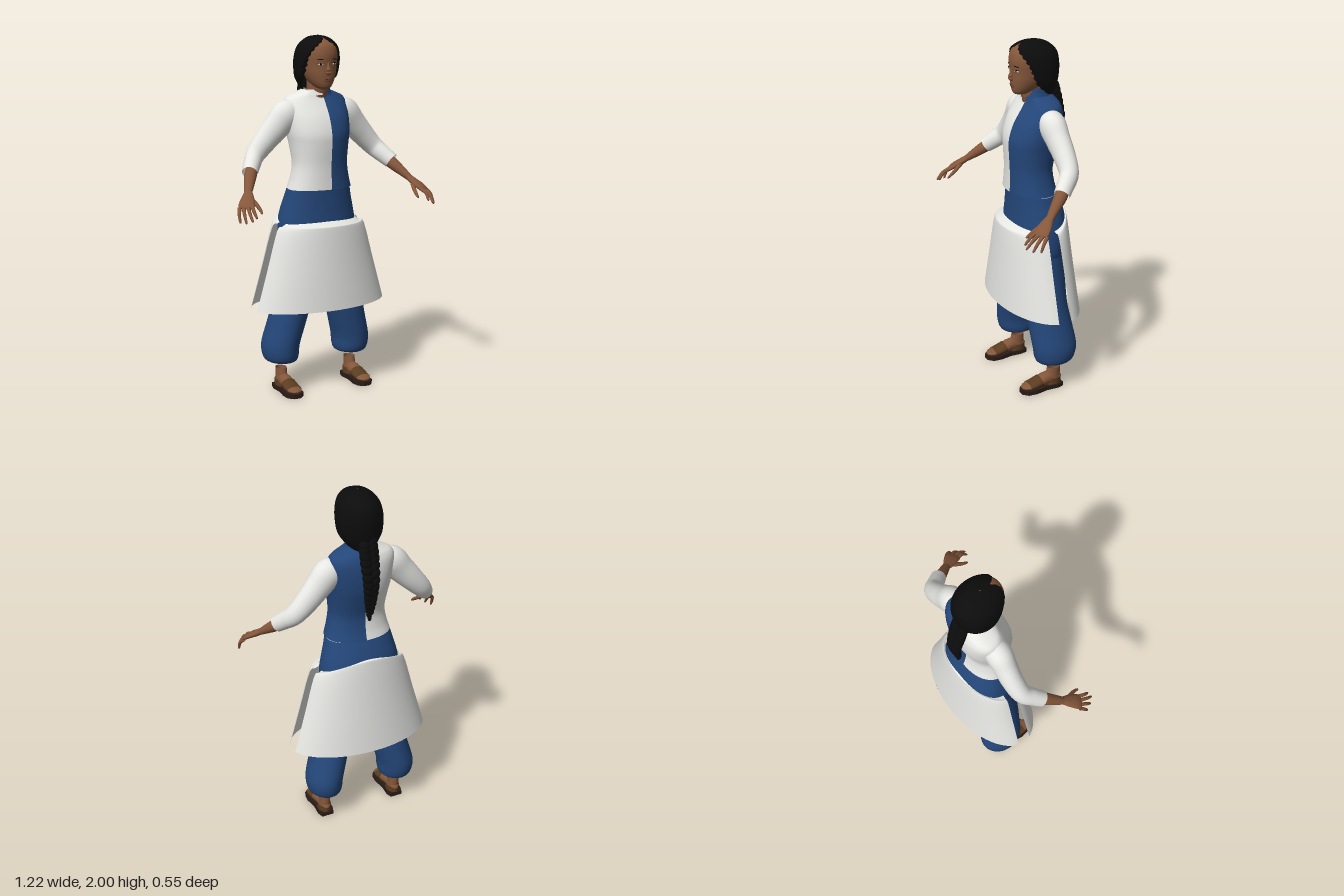
import * as THREE from 'three';

const mat = (name, color) => new THREE.MeshStandardMaterial({ name, color, side: THREE.DoubleSide });
const V = (x, y, z) => new THREE.Vector3(x, y, z);
const TAU = Math.PI * 2;

// Smooth interpolation through rows of numbers; t runs over 0..rows-1
function spline(rows) {
  const n = rows[0].length;
  const s = new THREE.CubicInterpolant(rows.map((_, i) => i), rows.flat(), n, new Array(n));
  return t => Array.from(s.evaluate(t));
}

// Surface from fn(row, column), both 0..1
function grid(fn, nr, nc, closed) {
  const pos = [], idx = [], w = closed ? nc : nc + 1;
  for (let i = 0; i <= nr; i++) for (let j = 0; j < w; j++) pos.push(...fn(i / nr, j / nc));
  for (let i = 0; i < nr; i++) for (let j = 0; j < nc; j++) {
    const k = (j + 1) % w, a = i * w + j, b = i * w + k, c = a + w, d = b + w;
    idx.push(a, b, c, b, d, c);
  }
  const g = new THREE.BufferGeometry();
  g.setAttribute('position', new THREE.Float32BufferAttribute(pos, 3));
  g.setIndex(idx);
  g.computeVertexNormals();
  return g;
}

// Stacked horizontal ovals, bottom to top: [y, centre x, half width, front z, back z]
function loft(rows, { a0 = 0, a1 = TAU, e = 1, seg = 40 } = {}) {
  const at = spline(rows), pw = v => Math.sign(v) * Math.abs(v) ** e;
  return grid((t, u) => {
    const [y, cx, rx, zf, zb] = at(t * (rows.length - 1)), a = a0 + (a1 - a0) * u;
    return [cx + rx * pw(Math.sin(a)), y, (zf + zb) / 2 + (zf - zb) / 2 * pw(Math.cos(a))];
  }, (rows.length - 1) * 5, seg, a1 - a0 > 6.28);
}

// Tube with changing oval section: [x, y, z, side radius, up radius]
function limb(pts, side = 1, seg = 16) {
  const at = spline(pts.map(p => [p[0] * side, ...p.slice(1)])), n = pts.length - 1;
  return grid((t, u) => {
    const p = at(t * n), q0 = at(Math.max(0, t * n - 0.02)), q1 = at(Math.min(n, t * n + 0.02));
    const T = V(q1[0] - q0[0], q1[1] - q0[1], q1[2] - q0[2]).normalize();
    const U = V(0, 1, 0).cross(T).normalize(), W = T.clone().cross(U);
    return V(p[0], p[1], p[2]).addScaledVector(U, p[3] * Math.cos(u * TAU))
      .addScaledVector(W, p[4] * Math.sin(u * TAU)).toArray();
  }, n * 4, seg, true);
}

export function createModel() {
  const root = new THREE.Group();
  const blue = mat('blue cloth', 0x24477a), white = mat('white cloth', 0xebebe8);
  const skin = mat('skin', 0x85573b), hair = mat('black hair', 0x0c0c0c);
  const brown = mat('brown leather', 0x5b3d20), dark = mat('dark sole', 0x2a1c17);
  const lip = mat('lips', 0x6e4031), eyeWhite = mat('eye white', 0xc9c2ba);
  const add = (name, geo, m) => {
    const o = new THREE.Mesh(geo, m);
    o.name = name;
    root.add(o);
    return o;
  };
  const blob = (name, m, x, y, z, sx, sy, sz) => {
    const o = add(name, new THREE.SphereGeometry(1, 14, 10), m);
    o.position.set(x, y, z);
    o.scale.set(sx, sy, sz);
    return o;
  };

  // Two-tone top, split down the middle front and back
  const torso = [[1.16, 0, .187, .088, -.175], [1.22, 0, .17, .086, -.16], [1.3, 0, .158, .086, -.155],
    [1.4, 0, .168, .092, -.18], [1.47, 0, .18, .09, -.197], [1.55, 0, .187, .063, -.205],
    [1.62, 0, .188, .02, -.2], [1.66, 0, .17, -.005, -.187], [1.682, 0, .125, -.012, -.175], [1.7, 0, .08, -.015, -.16]];
  add('blueVestHalf', loft(torso, { a0: .05, a1: Math.PI, e: .88 }), blue);
  add('whiteShirtHalf', loft(torso, { a0: Math.PI, a1: TAU + .05, e: .88 }), white);
  add('blueCollar', loft([[1.675, 0, .092, .005, -.17], [1.71, 0, .08, -.002, -.165], [1.745, 0, .078, -.012, -.162]],
    { a0: .35, a1: Math.PI }), blue);
  add('whiteCollar', loft([[1.675, 0, .092, .005, -.17], [1.705, 0, .08, -.002, -.162]],
    { a0: Math.PI, a1: TAU }), white);
  add('undershirtHem', loft([[1.11, 0, .182, .066, -.165], [1.19, 0, .17, .07, -.155]], { e: .88 }), white);

  // Trousers
  add('trouserHips', loft([[.68, 0, .16, .04, -.16], [.8, 0, .225, .062, -.2], [.95, 0, .23, .075, -.222],
    [1.03, 0, .218, .072, -.215], [1.1, 0, .2, .07, -.193], [1.157, 0, .187, .07, -.17]], { e: .9 }), blue);
  for (const s of [1, -1]) {
    add('trouserLeg', loft([[.168, s * .222, .035, -.04, -.125], [.17, s * .222, .08, .01, -.18],
      [.2, s * .226, .099, .034, -.205], [.27, s * .225, .104, .045, -.216], [.38, s * .197, .105, .055, -.203],
      [.5, s * .167, .106, .065, -.187], [.65, s * .135, .112, .065, -.185], [.82, s * .11, .115, .06, -.18]]), blue);
    add('ankleCuff', loft([[.157, s * .221, .035, -.03, -.128], [.185, s * .221, .037, -.028, -.132]]), blue);
  }

  // Skirt of two stiff panels with open side slits: [y, half width, half depth, centre z, back lift]
  const skirt = spline([[.49, .41, .22, -.055, 0], [.72, .343, .199, -.051, .04], [.935, .28, .179, -.048, .09],
    [.958, .245, .168, -.048, .095], [.982, .19, .12, -.05, .085]]);
  const panel = (a0, a1) => grid((t, u) => {
    const [y, rx, rz, cz, lift] = skirt(t * 4), a = a0 + (a1 - a0) * u, c = Math.cos(a);
    return [rx * Math.sin(a), y + lift * Math.max(0, -c) ** 1.5, cz + rz * c];
  }, 20, 48, false);
  add('skirtFront', panel(-1.39, 1.39), white);
  add('skirtBack', panel(1.75, TAU - 1.75), white);

  for (const s of [1, -1]) {
    // Arms and hands
    add('sleeve', limb([[.12, 1.6, -.085, .055, .05], [.18, 1.57, -.082, .072, .082], [.24, 1.505, -.085, .064, .076],
      [.31, 1.43, -.088, .058, .066], [.375, 1.36, -.078, .052, .056], [.415, 1.315, -.035, .047, .05],
      [.447, 1.278, .006, .043, .045]], s, 24), white);
    add('forearm', limb([[.41, 1.31, -.035, .03, .03], [.445, 1.27, .01, .035, .034], [.48, 1.225, .065, .028, .026],
      [.505, 1.192, .105, .022, .018]], s), skin);
    add('palm', limb([[.5, 1.2, .095, .018, .016], [.515, 1.178, .125, .03, .018], [.54, 1.15, .165, .042, .016],
      [.556, 1.128, .19, .038, .011], [.56, 1.122, .196, .001, .001]], s), skin);
    const tips = [[.6, 1.058, .208], [.582, 1.06, .245], [.558, 1.072, .27], [.532, 1.085, .265]];
    tips.forEach((tip, i) => {
      const b = [.584 - i * .019, 1.126 + i * .003, .166 + i * .012];
      const mid = b.map((v, k) => (v + tip[k]) / 2 + [.006, .008, .004][k]);
      add('finger', limb([[...b, .011, .01], [...mid, .0095, .009], [...tip, .006, .006],
        [tip[0], tip[1] - .003, tip[2] + .002, .0005, .0005]], s, 10), skin);
    });
    add('thumb', limb([[.512, 1.175, .125, .014, .012], [.495, 1.145, .17, .012, .011], [.487, 1.12, .205, .01, .009],
      [.485, 1.1, .232, .006, .006], [.485, 1.098, .235, .0005, .0005]], s, 10), skin);

    // Feet and sandals
    const x = .224;
    add('ankle', loft([[.03, s * x, .034, -.03, -.118], [.08, s * x, .031, -.035, -.122], [.125, s * x, .031, -.045, -.122]]), skin);
    add('foot', limb([[x, .045, -.122, .001, .001], [x, .052, -.11, .026, .026], [x, .06, -.04, .035, .038],
      [x, .047, .03, .041, .025], [x, .037, .085, .042, .014], [x, .034, .118, .022, .008], [x, .033, .123, .001, .001]], s), skin);
    add('sandalStrap', limb([[x, .054, .005, .043, .032], [x, .047, .03, .045, .028], [x, .041, .06, .046, .021],
      [x, .038, .082, .045, .018]], s, 20), brown);
    add('heelStrap', loft([[.024, s * x, .038, -.02, -.126], [.06, s * x, .037, -.022, -.127]]), brown);
    const sole = new THREE.Shape([[.035, -.128], [.046, -.09], [.041, -.02], [.053, .05], [.048, .1], [.02, .128],
      [-.02, .128], [-.048, .1], [-.053, .05], [-.041, -.02], [-.046, -.09], [-.035, -.128]]
      .map(p => new THREE.Vector2(p[0], -p[1])).reverse());
    const soleMesh = add('sandalSole', new THREE.ExtrudeGeometry(sole, { depth: .024, bevelEnabled: false }), dark);
    soleMesh.rotation.x = -Math.PI / 2;
    soleMesh.position.x = s * x;
  }

  // Neck and head
  add('neck', loft([[1.64, 0, .075, -.01, -.15], [1.7, 0, .06, .005, -.12], [1.78, 0, .06, .01, -.12]]), skin);
  const head = [[1.708, 0, .012, .03, .0], [1.718, 0, .038, .054, -.05], [1.745, 0, .062, .064, -.1],
    [1.79, 0, .083, .068, -.14], [1.84, 0, .093, .068, -.16], [1.9, 0, .097, .073, -.165],
    [1.95, 0, .083, .058, -.15], [1.98, 0, .045, .01, -.1], [1.985, 0, .002, -.04, -.05]];
  add('head', loft(head, { e: .93 }), skin);
  add('nose', limb([[0, 1.86, .06, .006, .01], [0, 1.83, .068, .009, .011], [0, 1.806, .073, .016, .014],
    [0, 1.793, .066, .012, .008], [0, 1.79, .062, .001, .001]]), skin);
  for (const s of [1, -1]) {
    const turn = o => { o.rotation.y = s * .4; };
    turn(blob('eye', eyeWhite, s * .042, 1.847, .0585, .015, .0065, .005));
    turn(blob('iris', hair, s * .042, 1.847, .0605, .0065, .0065, .004));
    turn(blob('eyelid', hair, s * .043, 1.854, .0595, .017, .0022, .005));
    const brow = blob('eyebrow', hair, s * .043, 1.874, .0605, .02, .003, .004);
    brow.rotation.set(0, s * .4, -s * .12);
    blob('ear', skin, s * .094, 1.83, -.04, .01, .028, .018);
  }
  blob('upperLip', lip, 0, 1.768, .0655, .024, .005, .006);
  blob('lowerLip', lip, 0, 1.759, .065, .021, .006, .006);

  // Hair cap, open around the face: [y, half width, front z, back z, half angle of the opening]
  const cap = spline([[1.685, .05, -.08, -.175, 1.7], [1.72, .085, -.01, -.182, 1.6], [1.77, .117, .04, -.197, 1.2],
    [1.83, .125, .064, -.206, 1.05], [1.88, .123, .075, -.206, .92], [1.93, .11, .078, -.196, .68],
    [1.965, .085, .058, -.165, .36], [1.99, .05, .01, -.12, 0], [2, .003, -.05, -.056, 0]]);
  add('hairCap', grid((t, u) => {
    const [y, rx, zf, zb, op] = cap(t * 8), o = Math.max(0, op + (op > .1 ? .05 * Math.sin(t * 90) : 0));
    const a = o + (TAU - 2 * o) * u, k = o > .02 && (u < .01 || u > .99) ? .84 : 1;
    return [k * rx * Math.sin(a), y, (zf + zb) / 2 + k * (zf - zb) / 2 * Math.cos(a)];
  }, 48, 56, false), hair);

  // Braid of crossing lobes
  const braid = spline([[1.745, -.178, .046], [1.65, -.202, .048], [1.53, -.226, .042], [1.42, -.217, .032], [1.335, -.208, .018]]);
  for (let i = 0; i < 26; i++) {
    const [y, z, r] = braid(i / 25 * 4), s = i % 2 ? 1 : -1;
    const lobe = blob('braidLobe', hair, s * r * .42, y, z, r * .66, r * .85, r * .6);
    lobe.rotation.z = -s * .6;
  }
  blob('braidTip', hair, 0, 1.325, -.205, .012, .03, .012);
  return root;
}
